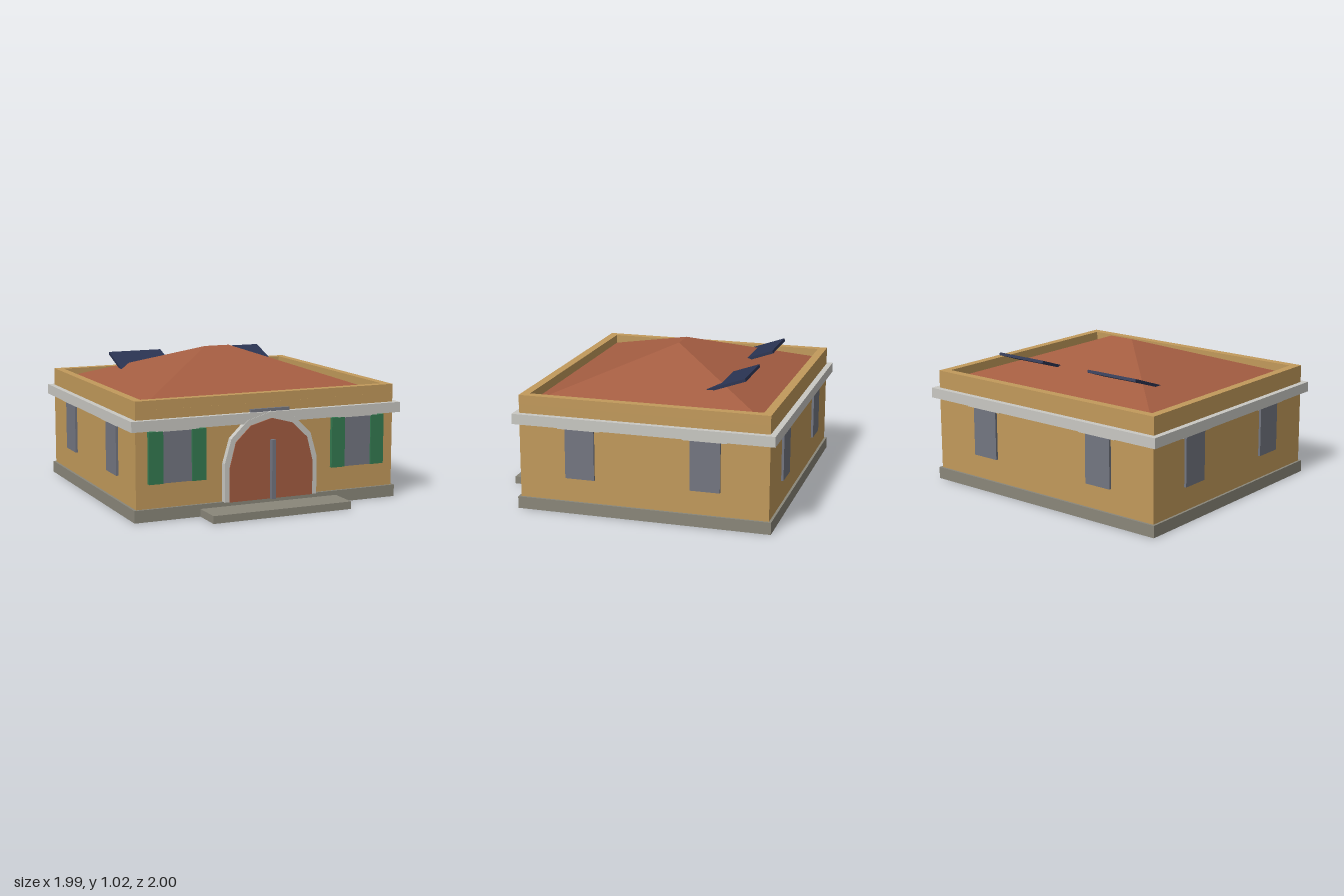
import * as THREE from 'three';

const mat = (name, color) => {
  const m = new THREE.MeshStandardMaterial({ color });
  m.name = name;
  return m;
};

export function createModel() {
  const wall = mat('ochre wall', 0xc29a5b);
  const tile = mat('terracotta', 0xa45d41);
  const trim = mat('pale stone', 0xc9c8c3);
  const stone = mat('grey stone', 0x8a877a);
  const glass = mat('slate grey', 0x737681);
  const green = mat('shutter green', 0x347a51);
  const navy = mat('panel navy', 0x2a3352);

  const house = new THREE.Group();
  house.name = 'house';
  const ZC = -0.098; // middle of the building, which sits behind the step

  const add = (name, geometry, material, parent = house) => {
    const mesh = new THREE.Mesh(geometry, material);
    mesh.name = name;
    parent.add(mesh);
    return mesh;
  };
  // box given by its extents on each axis
  const box = (name, material, [x0, x1], [y0, y1], [z0, z1], parent) => {
    const mesh = add(name, new THREE.BoxGeometry(x1 - x0, y1 - y0, z1 - z0), material, parent);
    mesh.position.set((x0 + x1) / 2, (y0 + y1) / 2, (z0 + z1) / 2);
    return mesh;
  };
  const points = (list) => list.map(([x, y]) => new THREE.Vector2(x, y));
  const rect = (w, d) => points([[-w, -d], [w, -d], [w, d], [-w, d]]);

  // masonry
  box('plinth', stone, [-0.972, 0.972], [0, 0.083], [-0.977, 0.783]);
  box('frontStep', stone, [-0.508, 0.508], [0, 0.052], [0.77, 1]);
  box('walls', wall, [-0.955, 0.955], [0.083, 0.735], [-0.96, 0.765]);
  box('cornice', trim, [-0.995, 0.995], [0.602, 0.673], [-1, 0.803]);

  // parapet ring around the roof
  const ring = new THREE.Shape(rect(0.955, 0.8625));
  ring.holes.push(new THREE.Path(rect(0.897, 0.803)));
  const parapet = add('parapet', new THREE.ExtrudeGeometry(ring, { depth: 0.064, bevelEnabled: false }), wall);
  parapet.rotation.x = -Math.PI / 2;
  parapet.position.set(0, 0.733, ZC);

  // hipped roof: a box with its top drawn in to a short ridge
  const roofGeo = new THREE.BoxGeometry(2, 0.283, 2).toNonIndexed();
  const p = roofGeo.attributes.position;
  for (let i = 0; i < p.count; i++) {
    const top = p.getY(i) > 0;
    p.setX(i, p.getX(i) * (top ? 0.093 : 0.897));
    p.setZ(i, p.getZ(i) * (top ? 0.0005 : 0.803));
  }
  roofGeo.computeVertexNormals();
  add('roof', roofGeo, tile).position.set(0, 0.8765, ZC);

  // tilted roof panels, their lower ends sunk into the roof
  for (const s of [-1, 1]) {
    const panel = add('solarPanel', new THREE.BoxGeometry(0.408, 0.02, 0.32), navy);
    panel.position.set(s * 0.404, 0.869, -0.555);
    panel.rotation.x = 0.34;
  }

  // window facing +z, with its back on the wall plane
  const addWindow = (x, z, turn, shutters) => {
    const g = new THREE.Group();
    g.name = 'window';
    box('pane', glass, [-0.102, 0.102], [0.248, 0.597], [-0.01, 0.016], g);
    box('lintel', trim, [-0.15, 0.15], [0.592, 0.62], [-0.01, 0.026], g);
    if (shutters) for (const s of [-1, 1]) {
      const shutter = box('shutter', green, [-0.05, 0.05], [0.248, 0.595], [-0.01, 0.028], g);
      shutter.position.x = s * 0.152;
    }
    g.position.set(x, 0, z);
    g.rotation.y = turn;
    house.add(g);
  };
  for (const s of [-1, 1]) {
    addWindow(s * 0.67, 0.765, 0, true);
    addWindow(s * 0.505, -0.96, Math.PI, false);
    for (const k of [-1, 1]) addWindow(s * 0.955, ZC + k * 0.433, s * Math.PI / 2, false);
  }

  // arched doorway: mirrored half outlines
  const arch = (half) => points([...half, ...half.slice(0, -1).reverse().map(([x, y]) => [-x, y])]);
  const inner = [[0.307, 0.083], [0.307, 0.32], [0.264, 0.485], [0.155, 0.59], [0, 0.632]];
  const outer = [[0.342, 0.083], [0.342, 0.345], [0.294, 0.51], [0.175, 0.625], [0, 0.677]];
  const surround = new THREE.Shape(arch([...outer]).concat(
    points([...inner.map(([x, y]) => [-x, y]), ...inner.slice(0, -1).reverse()])));
  add('doorSurround', new THREE.ExtrudeGeometry(surround, { depth: 0.05, bevelEnabled: false }), trim)
    .position.z = 0.758;
  add('door', new THREE.ExtrudeGeometry(new THREE.Shape(arch(inner)), { depth: 0.055, bevelEnabled: false }), tile)
    .position.z = 0.76;
  box('doorBar', glass, [-0.014, 0.014], [0.085, 0.488], [0.8, 0.85]);
  box('plaque', glass, [-0.142, 0.142], [0.62, 0.694], [0.755, 0.786]);

  return house;
}
